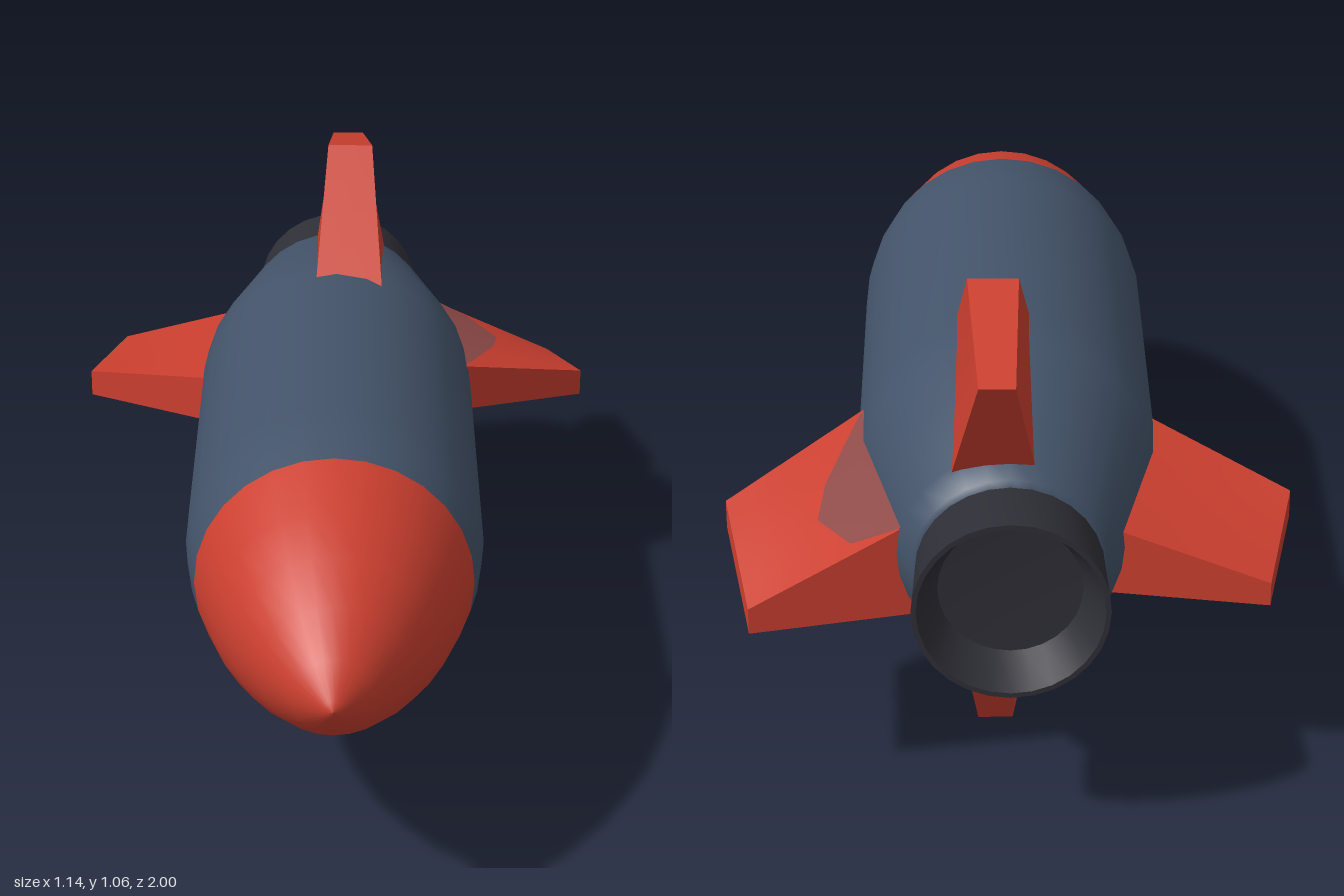
import * as THREE from 'three';
import { mergeGeometries, toCreasedNormals } from 'three/addons/utils/BufferGeometryUtils.js';

const material = (name, color) => {
  const m = new THREE.MeshStandardMaterial({ color });
  m.name = name;
  return m;
};
const V = (x, y, z) => new THREE.Vector3(x, y, z);
const AXIS_Y = 0.55;

// Point on the bilinear patch a-b-c-d
const bilinear = (a, b, c, d, u, v) =>
  a.clone().lerp(b, u).lerp(d.clone().lerp(c, u), v);

// Gently curved four-cornered face
function face(a, b, c, d, n = 5) {
  const g = new THREE.PlaneGeometry(1, 1, n, n);
  const p = g.attributes.position;
  for (let j = 0, k = 0; j <= n; j++) {
    for (let i = 0; i <= n; i++, k++) {
      const q = bilinear(d, c, b, a, i / n, j / n);
      p.setXYZ(k, q.x, q.y, q.z);
    }
  }
  g.computeVertexNormals();
  return g;
}

// Twisted slab fin. Each side lists leading root, leading tip, trailing tip, trailing root.
function finGeometry(sideA, sideB) {
  const sink = ([lr, lt, tt, tr]) => [lr.clone().lerp(lt, -0.3), lt, tt, tr.clone().lerp(tt, -0.3)];
  let A = sink(sideA), B = sink(sideB);
  const normal = A[1].clone().sub(A[0]).cross(A[3].clone().sub(A[0]));
  if (normal.dot(A[0].clone().sub(B[0])) < 0) [A, B] = [B, A];
  const parts = [face(...A), face(B[3], B[2], B[1], B[0])];
  for (let i = 0; i < 4; i++) {
    const j = (i + 1) % 4;
    parts.push(face(A[j], A[i], B[i], B[j]));
  }
  return mergeGeometries(parts);
}

// Profile of [radius, z] from back to front, turned around the long axis
function turned(profile, y) {
  const g = new THREE.LatheGeometry(profile.map(([r, z]) => new THREE.Vector2(r, z)), 28);
  g.rotateX(Math.PI / 2);
  g.translate(0, y, 0);
  return g;
}

export function createModel() {
  const model = new THREE.Group();
  model.name = 'rocket';
  const red = material('red', 0xcb3f2f);
  const blue = material('slate blue', 0x435369);
  const dark = material('charcoal', 0x2e2e36);
  const dull = material('dull red', 0x8e4a48);
  const add = (name, geometry, mat) => {
    const mesh = new THREE.Mesh(geometry, mat);
    mesh.name = name;
    model.add(mesh);
  };

  // Hull, nose and nozzle
  add('hull', turned([[0, -0.85], [0.17, -0.85], [0.19, -0.84], [0.22, -0.79], [0.262, -0.62],
    [0.302, -0.46], [0.308, -0.36], [0.31, 0.33], [0.302, 0.42], [0.285, 0.505]], AXIS_Y), blue);
  add('noseCone', turned([[0.285, 0.505], [0.243, 0.65], [0.2, 0.75], [0.145, 0.85],
    [0.08, 0.94], [0.02, 0.992], [0, 1]], AXIS_Y), red);
  add('nozzle', toCreasedNormals(turned([[0, -0.9], [0.14, -0.91], [0.18, -1], [0.19, -1],
    [0.184, -0.84], [0, -0.84]], 0.543), 0.7), dark);

  // Upright fins: [z, y, low x, high x] per corner
  const uprights = {
    topFin: [[-0.34, 0.85, -0.045, 0.1], [-0.62, 1.06, -0.02, 0.08],
      [-0.92, 0.975, -0.01, 0.06], [-0.8, 0.74, -0.05, 0.11]],
    bottomFin: [[-0.26, 0.25, -0.09, 0.03], [-0.225, 0.035, -0.06, 0.005],
      [-0.53, 0, -0.01, 0.062], [-0.73, 0.32, -0.02, 0.1]],
  };
  for (const [name, corners] of Object.entries(uprights)) {
    add(name, finGeometry(corners.map(([z, y, lo]) => V(lo, y, z)),
      corners.map(([z, y, , hi]) => V(hi, y, z))), red);
  }

  // Side fins: [x, z, low y, high y] per corner
  const sides = {
    leftFin: [[0.305, -0.35, 0.525, 0.63], [0.57, -0.54, 0.47, 0.53],
      [0.51, -0.83, 0.395, 0.45], [0.22, -0.79, 0.41, 0.6]],
    rightFin: [[-0.305, -0.34, 0.5, 0.605], [-0.573, -0.52, 0.475, 0.535],
      [-0.51, -0.81, 0.44, 0.49], [-0.23, -0.77, 0.445, 0.58]],
  };
  for (const [name, corners] of Object.entries(sides)) {
    add(name, finGeometry(corners.map(([x, z, lo]) => V(x, lo, z)),
      corners.map(([x, z, , hi]) => V(x, hi, z))), red);
  }

  // Dull patch lying on top of the left fin, beside the hull
  const [lr, lt, tt, tr] = sides.leftFin.map(([x, z, , hi]) => V(x, hi + 0.004, z));
  const reach = [[0.03, 0], [0.38, 0.34], [0.62, 0.45], [0.93, 0.29], [1, 0]];
  const strips = reach.slice(1).map(([v1, u1], i) => {
    const [v0, u0] = reach[i];
    const at = (u, v) => bilinear(lr, lt, tt, tr, u, v);
    return face(at(-0.1, v0), at(u0, v0), at(u1, v1), at(-0.1, v1));
  });
  const patchMaterial = dull;
  patchMaterial.side = THREE.DoubleSide;
  add('finPatch', mergeGeometries(strips), patchMaterial);

  return model;
}
